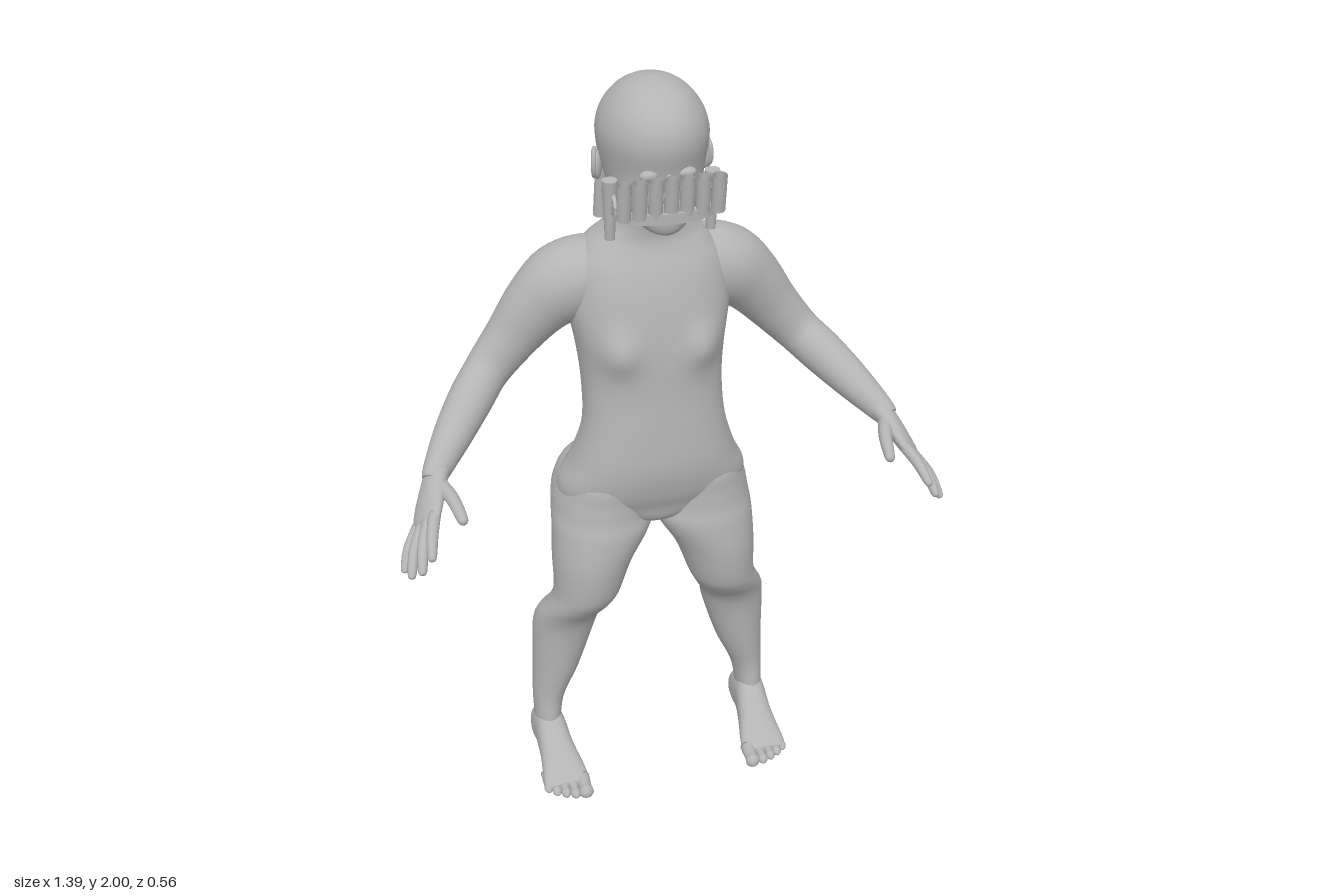
import * as THREE from 'three';

const V = (x, y, z) => new THREE.Vector3(x, y, z);
const clayGrey = new THREE.MeshStandardMaterial({ color: 0xb4b4b4, side: THREE.DoubleSide });
clayGrey.name = 'clayGrey';

const bell = (d, w) => Math.exp(-(d * d) / (w * w));

// Catmull-Rom interpolation over whole rows of numbers
function smoothRows(rows, steps) {
  const out = [], n = rows.length;
  for (let i = 0; i < n - 1; i++) {
    const [a, b, c, d] = [rows[Math.max(i - 1, 0)], rows[i], rows[i + 1], rows[Math.min(i + 2, n - 1)]];
    for (let k = 0; k < steps; k++) {
      const t = k / steps;
      out.push(b.map((_, j) => 0.5 * (2 * b[j] + (c[j] - a[j]) * t
        + (2 * a[j] - 5 * b[j] + 4 * c[j] - d[j]) * t * t
        + (3 * b[j] - a[j] - 3 * c[j] + d[j]) * t * t * t)));
    }
  }
  out.push(rows[n - 1]);
  return out;
}

// Closed skin over elliptical rings [x, y, z, halfWidth, halfDepth].
// ref is the width direction; axis fixes the ring plane, else it follows the path.
function loft(name, rows, { ref, axis, seg = 32, steps = 5, power = 2, shape } = {}) {
  const rings = smoothRows(rows, steps), pos = [], idx = [];
  const pts = rings.map(r => V(r[0], r[1], r[2]));
  rings.forEach((r, i) => {
    const t = axis ? axis.clone()
      : pts[Math.min(i + 1, pts.length - 1)].clone().sub(pts[Math.max(i - 1, 0)]).normalize();
    const u = ref.clone().addScaledVector(t, -ref.dot(t)).normalize();
    const v = t.clone().cross(u);
    for (let k = 0; k < seg; k++) {
      const a = (k / seg) * Math.PI * 2, c = Math.cos(a), s = Math.sin(a);
      const p = pts[i].clone()
        .addScaledVector(u, Math.sign(c) * Math.abs(c) ** (2 / power) * Math.max(r[3], 0.001))
        .addScaledVector(v, Math.sign(s) * Math.abs(s) ** (2 / power) * Math.max(r[4], 0.001));
      if (shape) shape(p);
      pos.push(p.x, p.y, p.z);
    }
  });
  for (let i = 0; i < rings.length - 1; i++) for (let k = 0; k < seg; k++) {
    const a = i * seg + k, b = i * seg + (k + 1) % seg;
    idx.push(a, b, b + seg, a, b + seg, a + seg);
  }
  // end caps
  const last = rings.length - 1;
  for (const [i, flip] of [[0, true], [last, false]]) {
    const c = pos.length / 3;
    pos.push(pts[i].x, pts[i].y, pts[i].z);
    for (let k = 0; k < seg; k++) {
      const a = i * seg + k, b = i * seg + (k + 1) % seg;
      idx.push(c, flip ? b : a, flip ? a : b);
    }
  }
  const g = new THREE.BufferGeometry();
  g.setAttribute('position', new THREE.Float32BufferAttribute(pos, 3));
  g.setIndex(idx);
  g.computeVertexNormals();
  return mesh(name, g);
}

function mesh(name, geo, x = 0, y = 0, z = 0) {
  const m = new THREE.Mesh(geo, clayGrey);
  m.name = name;
  m.position.set(x, y, z);
  return m;
}

function ball(name, x, y, z, rx, ry, rz) {
  const m = mesh(name, new THREE.SphereGeometry(1, 20, 14), x, y, z);
  m.scale.set(rx, ry, rz);
  return m;
}

// horizontal ring from y, centre x, half width, front z, back z
const level = (y, x, hw, zf, zb) => [x, y, (zf + zb) / 2, hw, (zf - zb) / 2];
const X = V(1, 0, 0), Y = V(0, 1, 0), Z = V(0, 0, 1);

function addLimbs(body, s) {
  const side = s > 0 ? 'left' : 'right';
  const flip = rows => rows.map(([x, ...rest]) => [x * s, ...rest]);

  // leg
  body.add(loft(side + 'Leg', flip([
    level(1.0, 0.11, 0.06, -0.02, -0.19), level(0.95, 0.123, 0.11, 0.02, -0.255),
    level(0.89, 0.13, 0.128, 0.025, -0.277), level(0.84, 0.134, 0.132, 0.03, -0.255),
    level(0.79, 0.139, 0.132, 0.04, -0.215), level(0.7, 0.168, 0.108, 0.043, -0.19),
    level(0.6, 0.187, 0.09, 0.03, -0.16), level(0.55, 0.207, 0.087, 0.005, -0.155),
    level(0.5, 0.23, 0.088, -0.03, -0.185), level(0.44, 0.243, 0.086, -0.05, -0.21),
    level(0.3, 0.267, 0.066, -0.068, -0.212), level(0.2, 0.291, 0.046, -0.08, -0.2),
    level(0.13, 0.299, 0.038, -0.075, -0.195), level(0.06, 0.3, 0.036, -0.07, -0.195),
  ]), { ref: X, axis: Y }));

  // foot and toes
  body.add(loft(side + 'Foot', flip([
    [0.3, 0.045, -0.218, 0.012, 0.02], [0.3, 0.05, -0.2, 0.036, 0.046], [0.3, 0.064, -0.15, 0.046, 0.062],
    [0.298, 0.072, -0.1, 0.045, 0.07], [0.294, 0.053, -0.04, 0.049, 0.051],
    [0.29, 0.038, 0.02, 0.058, 0.036], [0.289, 0.025, 0.065, 0.063, 0.022], [0.289, 0.02, 0.083, 0.054, 0.012],
  ]), { ref: X, axis: Z, power: 2.3 }));
  [[0.243, 0.128, 0.02], [0.273, 0.127, 0.014], [0.298, 0.118, 0.013], [0.321, 0.105, 0.013], [0.342, 0.088, 0.012]]
    .forEach(([x, tip, r], i) => body.add(loft(`${side}Toe${i + 1}`, flip([
      [x, 0.024, tip - 0.07, r, r], [x, 0.02, tip - 0.03, r * 0.9, r * 0.9],
      [x, 0.018, tip - 0.012, r, r], [x, 0.016, tip, r * 0.3, r * 0.3],
    ]), { ref: X, axis: Z, seg: 14, steps: 4 })));

  // arm
  body.add(loft(side + 'Arm', flip([
    [0.06, 1.49, -0.15, 0.07, 0.07], [0.14, 1.49, -0.15, 0.092, 0.095], [0.21, 1.465, -0.15, 0.1, 0.095],
    [0.275, 1.41, -0.155, 0.085, 0.078], [0.34, 1.33, -0.158, 0.069, 0.062], [0.405, 1.255, -0.147, 0.06, 0.055],
    [0.46, 1.205, -0.095, 0.058, 0.055], [0.52, 1.15, -0.025, 0.049, 0.048], [0.573, 1.1, 0.045, 0.036, 0.034],
    [0.585, 1.085, 0.065, 0.03, 0.028],
  ]), { ref: Y }));

  // hand: palm, four fingers and thumb
  const across = V(0.58 * s, -0.58, -0.58);
  body.add(loft(side + 'Palm', flip([
    [0.562, 1.11, 0.03, 0.032, 0.03], [0.582, 1.086, 0.067, 0.037, 0.026], [0.602, 1.055, 0.11, 0.047, 0.022],
    [0.618, 1.028, 0.148, 0.048, 0.017], [0.623, 1.02, 0.16, 0.036, 0.01],
  ]), { ref: across, seg: 24 }));
  const fingers = {
    Thumb: [[0.577, 1.085, 0.075], [0.552, 1.077, 0.14], [0.536, 1.055, 0.222], 0.017],
    Index: [[0.598, 1.05, 0.155], [0.613, 1.032, 0.215], [0.625, 1.0, 0.277], 0.014],
    Middle: [[0.613, 1.033, 0.152], [0.637, 1.003, 0.215], [0.65, 0.957, 0.268], 0.014],
    Ring: [[0.627, 1.017, 0.143], [0.657, 0.98, 0.195], [0.674, 0.932, 0.242], 0.0135],
    Pinky: [[0.638, 1.003, 0.127], [0.67, 0.965, 0.165], [0.687, 0.923, 0.2], 0.012],
  };
  for (const [finger, [a, b, c, r]] of Object.entries(fingers)) {
    const near = c.map((q, i) => q + (b[i] - q) * 0.15);
    body.add(loft(side + finger, flip([
      [...a, r * 1.15, r * 1.1], [...b, r, r], [...near, r * 0.8, r * 0.75], [...c, r * 0.25, r * 0.25],
    ]), { ref: across, seg: 14, steps: 4 }));
  }

  // ear
  const ear = ball(side + 'Ear', s * 0.128, 1.79, -0.088, 0.011, 0.036, 0.022);
  ear.rotation.y = s * 0.35;
  const rim = mesh(side + 'EarRim', new THREE.TorusGeometry(0.022, 0.006, 8, 24), s * 0.135, 1.795, -0.09);
  rim.rotation.y = Math.PI / 2 + s * 0.3;
  rim.scale.y = 1.4;
  body.add(ear, rim);

  // eye
  body.add(ball(side + 'Eyelid', s * 0.045, 1.815, 0.067, 0.022, 0.013, 0.014));
}

function addFaceRig(root) {
  const rig = new THREE.Group();
  rig.name = 'faceRig';
  // row of open tubes before the eyes
  for (let i = -3; i <= 3; i++) {
    const tube = mesh('frontTube', new THREE.CylinderGeometry(0.0175, 0.0165, 0.09, 20, 1, true), i * 0.037, 1.772, 0.1);
    const bore = mesh('frontTubeBore', new THREE.CylinderGeometry(0.0135, 0.0125, 0.09, 20, 1, true));
    tube.add(bore);
    tube.rotation.x = 0.12;
    rig.add(tube);
  }
  // curved strap around the lower face
  const strap = new THREE.Shape();
  strap.moveTo(-0.122, -0.075);
  strap.lineTo(-0.122, 0.04);
  strap.quadraticCurveTo(-0.115, 0.112, 0, 0.113);
  strap.quadraticCurveTo(0.115, 0.112, 0.122, 0.04);
  strap.lineTo(0.122, -0.075);
  strap.lineTo(0.112, -0.075);
  strap.lineTo(0.112, 0.035);
  strap.quadraticCurveTo(0.105, 0.102, 0, 0.103);
  strap.quadraticCurveTo(-0.105, 0.102, -0.112, 0.035);
  strap.lineTo(-0.112, -0.075);
  const band = mesh('strap', new THREE.ExtrudeGeometry(strap, { depth: 0.026, bevelEnabled: false, curveSegments: 16 }), 0, 1.737, 0);
  band.rotation.x = Math.PI / 2;
  rig.add(band);
  for (const s of [-1, 1]) {
    // cheek plate and hanging tubes
    const plate = new THREE.Shape([[0.06, 0], [-0.075, 0], [-0.075, 0.035], [0.015, 0.04]].map(p => new THREE.Vector2(...p)));
    const cheek = mesh('cheekPlate', new THREE.ExtrudeGeometry(plate, { depth: 0.008, bevelEnabled: false }), s * 0.117 + 0.004, 1.725, 0);
    cheek.rotation.y = -Math.PI / 2;
    const front = mesh('frontHangingTube', new THREE.CylinderGeometry(0.018, 0.012, 0.15, 18), s * 0.122, 1.715, 0.005);
    const back = mesh('backHangingTube', new THREE.CylinderGeometry(0.011, 0.017, 0.17, 18), s * 0.118, 1.735, -0.107);
    front.rotation.x = 0.06;
    back.rotation.x = 0.12;
    rig.add(cheek, front, back);
  }
  root.add(rig);
}

export function createModel() {
  const root = new THREE.Group();
  root.name = 'figure';

  // torso and neck, with chest, spine groove and shoulder blades
  root.add(loft('torso', [
    level(0.785, 0, 0.02, -0.06, -0.14), level(0.82, 0, 0.1, -0.005, -0.18), level(0.87, 0, 0.225, 0.015, -0.22),
    level(0.92, 0, 0.25, 0.035, -0.24), level(1.0, 0, 0.215, 0.05, -0.215), level(1.1, 0, 0.185, 0.046, -0.188),
    level(1.2, 0, 0.179, 0.038, -0.215), level(1.3, 0, 0.186, 0.034, -0.248), level(1.4, 0, 0.202, 0.024, -0.262),
    level(1.47, 0, 0.2, 0.01, -0.266), level(1.53, 0, 0.188, -0.01, -0.262), level(1.575, 0, 0.155, -0.03, -0.242),
    level(1.605, 0, 0.12, -0.038, -0.222), level(1.64, 0, 0.088, -0.035, -0.195), level(1.69, 0, 0.076, -0.025, -0.18),
    level(1.76, 0, 0.074, -0.02, -0.185),
  ], {
    ref: X, axis: Y, seg: 64, steps: 6, power: 2.3,
    shape: p => {
      const ax = Math.abs(p.x);
      if (p.z > -0.06) p.z += 0.028 * bell(ax - 0.11, 0.05) * bell(p.y - 1.335, 0.055);
      if (p.z < -0.15) {
        p.z += 0.022 * bell(p.x, 0.03) * bell(p.y - 1.28, 0.22);
        p.z += 0.025 * bell(p.x, 0.025) * bell(p.y - 0.9, 0.07);
        p.z -= 0.013 * bell(ax - 0.08, 0.05) * bell(p.y - 1.43, 0.09);
      }
    },
  }));

  // head
  root.add(loft('head', [
    level(1.66, 0, 0.015, 0.06, 0.02), level(1.672, 0, 0.045, 0.076, -0.02), level(1.7, 0, 0.076, 0.083, -0.1),
    level(1.74, 0, 0.103, 0.08, -0.18), level(1.8, 0, 0.122, 0.074, -0.228), level(1.87, 0, 0.131, 0.088, -0.243),
    level(1.92, 0, 0.119, 0.08, -0.228), level(1.96, 0, 0.092, 0.05, -0.19), level(1.985, 0, 0.06, 0.005, -0.145),
    level(1.996, 0, 0.03, -0.035, -0.105), level(2.0, 0, 0.002, -0.068, -0.072),
  ], { ref: X, axis: Y, seg: 40 }));
  root.add(ball('noseBridge', 0, 1.785, 0.074, 0.011, 0.034, 0.014));
  root.add(ball('noseTip', 0, 1.76, 0.083, 0.019, 0.013, 0.015));
  root.add(ball('upperLip', 0, 1.722, 0.08, 0.03, 0.007, 0.011));
  root.add(ball('lowerLip', 0, 1.709, 0.08, 0.026, 0.008, 0.011));

  for (const s of [1, -1]) addLimbs(root, s);
  addFaceRig(root);
  return root;
}
